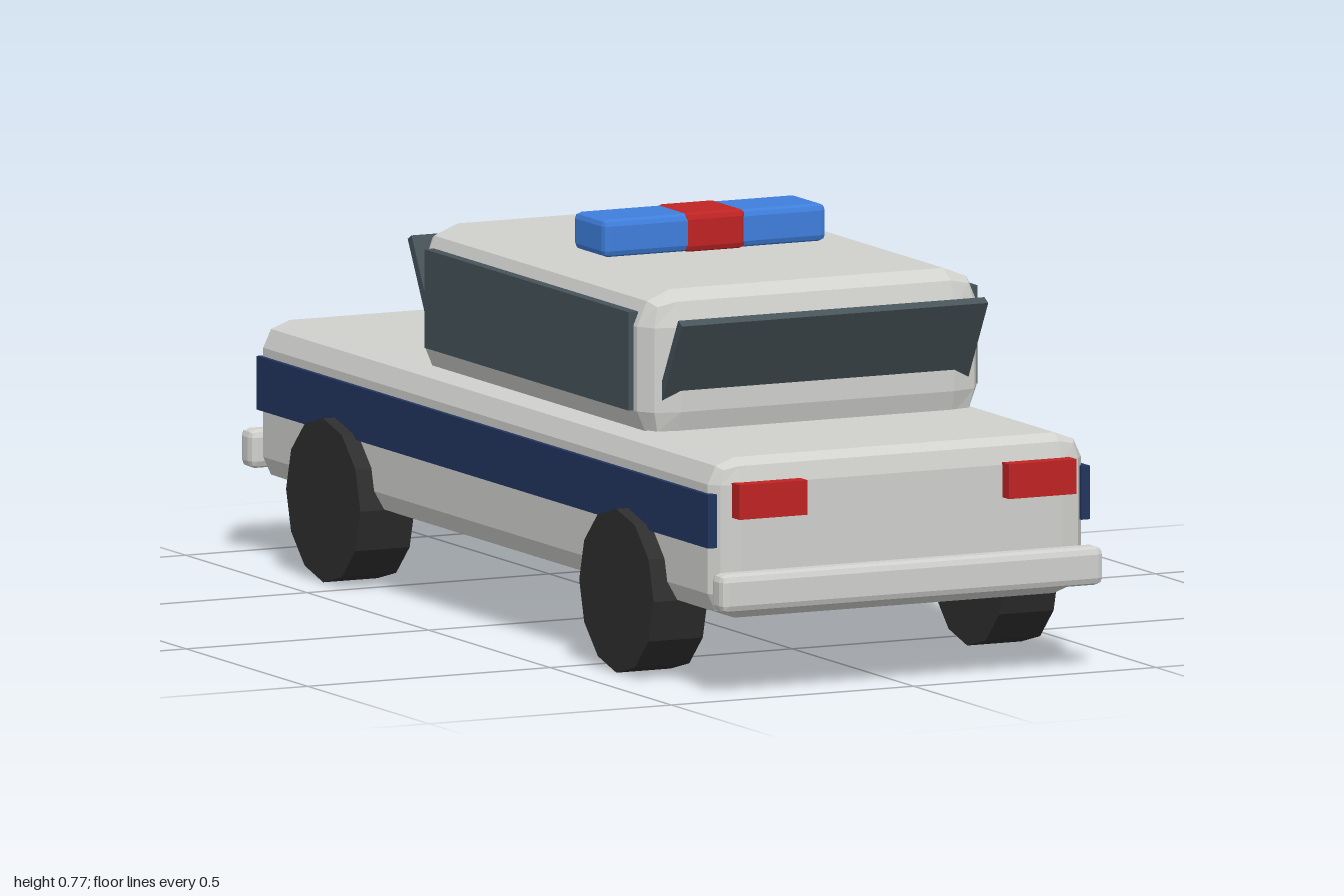
import * as THREE from 'three';
import { RoundedBoxGeometry } from 'three/addons/geometries/RoundedBoxGeometry.js';

function material(name, color) {
  const m = new THREE.MeshStandardMaterial({ color });
  m.name = name;
  return m;
}

// Flat normals baked into the geometry for faceted parts
function faceted(geometry) {
  const g = geometry.index ? geometry.toNonIndexed() : geometry;
  g.computeVertexNormals();
  return g;
}

// Box with two-facet bevels; the bevel size can differ per axis
function bevelBox(w, h, d, rx, ry = rx, rz = rx) {
  const g = new RoundedBoxGeometry(w / rx, h / ry, d / rz, 1, 1);
  g.scale(rx, ry, rz);
  return faceted(g);
}

export function createModel() {
  const car = new THREE.Group();
  car.name = 'patrolCar';

  const paint = material('paint', 0xd0d0cd);
  const glass = material('glass', 0x465359);
  const navy = material('navyStripe', 0x22355f);
  const blue = material('beaconBlue', 0x3f7fdc);
  const red = material('signalRed', 0xc02424);
  const cream = material('lampCream', 0xd8cb9a);
  const rubber = material('rubber', 0x2e2e2e);

  function add(name, geometry, mat, x, y, z, tilt = 0) {
    const mesh = new THREE.Mesh(geometry, mat);
    mesh.name = name;
    mesh.position.set(x, y, z);
    mesh.rotation.x = tilt;
    car.add(mesh);
    return mesh;
  }
  const box = (w, h, d) => new THREE.BoxGeometry(w, h, d);

  // Body and cabin
  add('body', bevelBox(0.77, 0.30, 1.89, 0.055, 0.048, 0.03), paint, 0, 0.29, 0.005);
  add('cabin', bevelBox(0.70, 0.29, 0.965, 0.068, 0.066, 0.045), paint, 0, 0.555, 0.122);

  // Tilted windscreens, leaning outwards at the top
  add('frontWindscreen', box(0.632, 0.20, 0.018), glass, 0, 0.565, 0.621, 0.5);
  add('backWindscreen', box(0.632, 0.20, 0.018), glass, 0, 0.571, -0.397, -0.5);

  // Bumpers and plate
  add('frontBumper', bevelBox(0.79, 0.072, 0.05, 0.014), paint, 0, 0.197, 0.975);
  add('backBumper', bevelBox(0.79, 0.072, 0.05, 0.014), paint, 0, 0.197, -0.965);
  add('plate', box(0.23, 0.045, 0.02), paint, 0, 0.207, -0.99);

  // Roof beacon
  add('beaconBar', bevelBox(0.46, 0.07, 0.13, 0.012), blue, 0, 0.736, 0.12);
  add('beaconCentre', bevelBox(0.128, 0.074, 0.134, 0.012), red, 0, 0.736, 0.12);

  // Twelve-sided wheel, axle along x
  const wheel = new THREE.CylinderGeometry(0.153, 0.153, 0.112, 12);
  wheel.rotateZ(Math.PI / 2);
  const wheelGeometry = faceted(wheel);

  // Mirrored parts
  for (const [side, s] of [['left', 1], ['right', -1]]) {
    add(side + 'Window', box(0.02, 0.184, 0.84), glass, s * 0.35, 0.568, 0.124);
    add(side + 'Stripe', box(0.018, 0.10, 1.86), navy, s * 0.385, 0.326, 0.01);
    add(side + 'FrontLamp', box(0.14, 0.065, 0.04), red, s * 0.278, 0.364, 0.957);
    add(side + 'BackLamp', box(0.16, 0.066, 0.04), cream, s * 0.26, 0.352, -0.939);
    add(side + 'FrontWheel', wheelGeometry, rubber, s * 0.362, 0.153, 0.61);
    add(side + 'BackWheel', wheelGeometry, rubber, s * 0.362, 0.153, -0.597);
  }

  return car;
}
